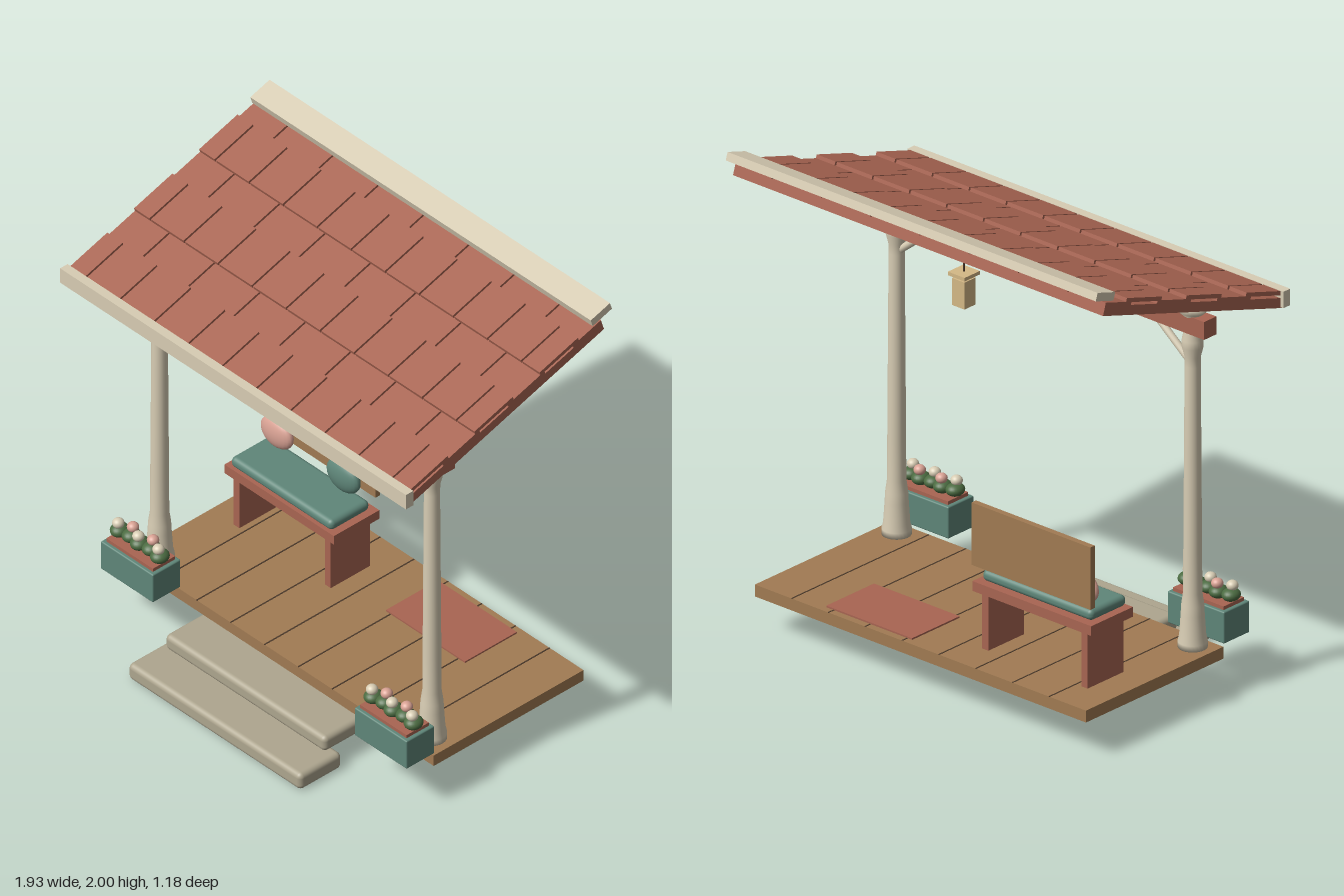
import * as THREE from 'three';
import { RoundedBoxGeometry } from 'three/addons/geometries/RoundedBoxGeometry.js';

const mat = (name, color) => new THREE.MeshStandardMaterial({ name, color });

export function createModel() {
  const cream = mat('cream', 0xd8cdb4), stone = mat('stone', 0xaea68f);
  const terracotta = mat('terracotta', 0xa96552), wood = mat('wood', 0xa17b53);
  const dark = mat('dark brown', 0x4a382a), teal = mat('teal', 0x5f8679);
  const green = mat('leaf green', 0x4b6b41), pink = mat('pink', 0xd9a294);
  const tan = mat('lantern tan', 0xd5b986);

  const model = new THREE.Group();
  model.name = 'porch';
  const add = (name, geometry, material, x, y, z, parent = model) => {
    const mesh = new THREE.Mesh(geometry, material);
    mesh.name = name;
    mesh.position.set(x, y, z);
    parent.add(mesh);
    return mesh;
  };
  const group = (name) => {
    const g = new THREE.Group();
    g.name = name;
    model.add(g);
    return g;
  };
  // Box given by its limits on each axis; a radius rounds its edges
  const box = (name, material, [x0, x1], [y0, y1], [z0, z1], parent, radius = 0) => {
    const size = [x1 - x0, y1 - y0, z1 - z0];
    const geometry = radius ? new RoundedBoxGeometry(...size, 4, radius) : new THREE.BoxGeometry(...size);
    return add(name, geometry, material, (x0 + x1) / 2, (y0 + y1) / 2, (z0 + z1) / 2, parent);
  };
  const ball = (name, material, x, y, z, rx, ry, rz, parent) => {
    const mesh = add(name, new THREE.SphereGeometry(1, 24, 16), material, x, y, z, parent);
    mesh.scale.set(rx, ry, rz);
    return mesh;
  };

  // Deck with plank seams, mat and steps
  box('deck', wood, [-0.85, 0.85], [0.15, 0.2], [-0.54, 0.24]);
  for (let i = 1; i < 9; i++) {
    const x = -0.85 + (i * 1.7) / 9;
    box('plankSeam', dark, [x - 0.003, x + 0.003], [0.198, 0.201], [-0.54, 0.24]);
  }
  box('doorMat', terracotta, [0.07, 0.51], [0.2, 0.207], [-0.51, -0.24]);
  box('upperStep', stone, [-0.45, 0.445], [0.08, 0.15], [0.21, 0.43], model, 0.022);
  box('lowerStep', stone, [-0.485, 0.48], [0, 0.075], [0.37, 0.59], model, 0.022);

  // Turned posts, caps and braces
  const profile = [
    [0, 0.2], [0.058, 0.2], [0.058, 0.225], [0.052, 0.25], [0.046, 0.34], [0.044, 0.38], [0.037, 0.43],
    [0.036, 0.6], [0.031, 1.38], [0.032, 1.42], [0.042, 1.46], [0.042, 1.49], [0.034, 1.53],
    [0.034, 1.59], [0.055, 1.61], [0.057, 1.637], [0, 1.637],
  ].map(([r, y]) => new THREE.Vector2(r, y));
  const postGeometry = new THREE.LatheGeometry(profile, 24);
  for (const side of [-1, 1]) {
    add('post', postGeometry, cream, side * 0.76, 0, 0.165);
    const a = new THREE.Vector3(side * 0.745, 1.395, 0.165);
    const b = new THREE.Vector3(side * 0.575, 1.53, 0.165);
    const path = new THREE.LineCurve3(a, b);
    add('brace', new THREE.TubeGeometry(path, 1, 0.015, 12), cream, 0, 0, 0);
  }
  box('beam', terracotta, [-0.85, 0.85], [1.525, 1.6], [0.13, 0.2]);

  // Sloping roof: slab with alternating low and raised rows of shingles
  const slope = 0.301;
  const roof = group('roof');
  roof.position.set(0, 1.733, -0.0425);
  roof.rotation.x = slope;
  box('roofSlab', terracotta, [-0.95, 0.95], [0, 0.04], [-0.535, 0.535], roof);
  const shingleRow = (seams, y0, y1, z0, z1) => {
    const edges = [-0.95, ...seams, 0.95];
    for (let i = 0; i < edges.length - 1; i++) {
      const left = edges[i] + (i ? 0.004 : 0);
      const right = edges[i + 1] - (i < edges.length - 2 ? 0.004 : 0);
      box('shingle', terracotta, [left, right], [y0, y1], [z0, z1], roof);
    }
  };
  const raisedSeams = Array.from({ length: 10 }, (_, i) => -0.86 + i * 0.19);
  const lowSeams = Array.from({ length: 7 }, (_, i) => (i - 3) * 0.253);
  for (let i = 0; i < 3; i++) {
    const shift = i * 0.355;
    shingleRow(raisedSeams, 0.051, 0.068, 0.296 - shift, 0.505 - shift);
    shingleRow(lowSeams, 0.036, 0.053, Math.max(0.128 - shift, -0.535), 0.328 - shift);
  }
  box('eaveBoard', cream, [-0.965, 0.965], [1.583, 1.652], [0.453, 0.492]);
  const ridge = box('ridgeCap', cream, [-0.95, 0.95], [1.951, 1.985], [-0.592, -0.487]);
  ridge.rotation.x = slope;

  // Hanging lantern
  const lantern = group('lantern');
  lantern.position.set(0.332, 0, 0.073);
  add('cord', new THREE.CylinderGeometry(0.004, 0.004, 0.25, 8), dark, 0, 1.58, 0, lantern);
  box('lanternCap', tan, [-0.043, 0.043], [1.45, 1.465], [-0.043, 0.043], lantern);
  box('lanternNeck', tan, [-0.015, 0.015], [1.435, 1.452], [-0.015, 0.015], lantern);
  box('lanternBody', tan, [-0.032, 0.032], [1.325, 1.438], [-0.032, 0.032], lantern);

  // Bench with cushion and pillows
  const bench = group('bench');
  bench.position.x = -0.45;
  box('seat', terracotta, [-0.305, 0.305], [0.437, 0.478], [-0.405, -0.168], bench);
  for (const side of [-1, 1]) {
    const x = side * 0.255;
    box('benchLeg', terracotta, [x - 0.016, x + 0.016], [0.2, 0.437], [-0.388, -0.184], bench);
  }
  box('backrest', wood, [-0.305, 0.305], [0.548, 0.81], [-0.41, -0.385], bench);
  box('cushion', teal, [-0.283, 0.283], [0.478, 0.525], [-0.38, -0.175], bench, 0.021);
  ball('pinkPillow', pink, -0.205, 0.595, -0.35, 0.085, 0.068, 0.034, bench);
  ball('tealPillow', teal, 0.165, 0.595, -0.35, 0.088, 0.07, 0.034, bench);

  // Flower planters beside the steps
  for (const side of [-1, 1]) {
    const planter = group('planter');
    planter.position.set(side * 0.708, 0, 0.312);
    box('planterBox', teal, [-0.146, 0.146], [0.212, 0.345], [-0.073, 0.073], planter, 0.006);
    box('planterSoil', terracotta, [-0.13, 0.13], [0.34, 0.36], [-0.058, 0.058], planter);
    for (let i = 0; i < 5; i++) {
      const x = (i - 2) * 0.056;
      const z = i % 2 ? -0.012 : 0.012;
      ball('leaves', green, x, 0.384, z * 0.4, 0.036, 0.026, 0.04, planter);
      ball('flower', i % 2 ? pink : cream, x, 0.42, z, 0.024, 0.021, 0.024, planter);
    }
  }
  return model;
}
